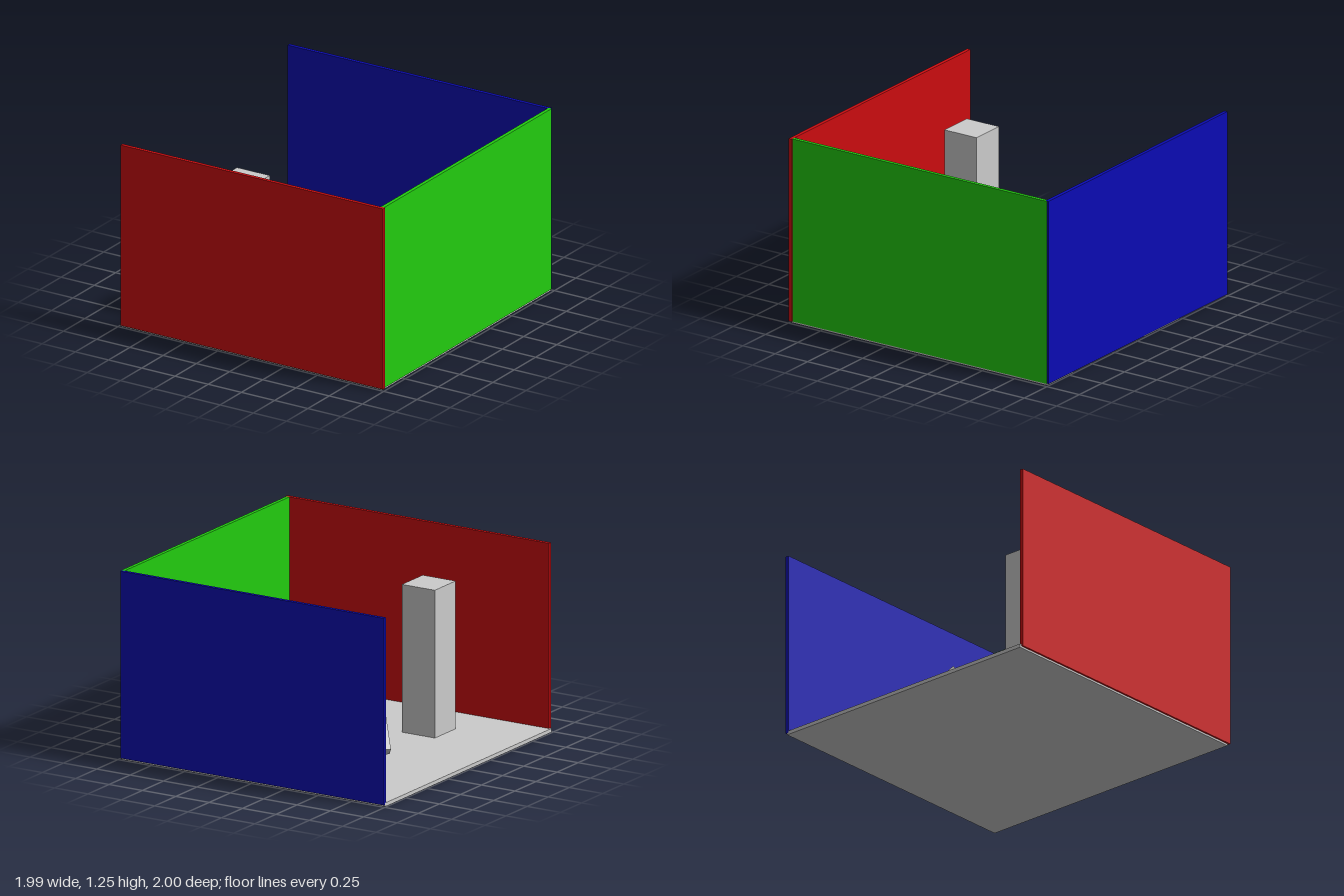
import * as THREE from 'three';

export function createModel() {
  const group = new THREE.Group();
  const material = (color) => new THREE.MeshStandardMaterial({ color });
  const grey = material(0xcccccc);

  const add = (name, geometry, mat, x, y, z) => {
    const mesh = new THREE.Mesh(geometry, mat);
    mesh.name = name;
    mesh.position.set(x, y, z);
    group.add(mesh);
    return mesh;
  };
  const box = (name, mat, w, h, d, x, y, z) =>
    add(name, new THREE.BoxGeometry(w, h, d), mat, x, y, z);

  const side = 1.975;       // floor and wall length
  const thick = 0.0247;     // floor and wall thickness
  const wallHeight = 1.235;
  const base = thick / 2;   // walls and objects start at mid-floor
  const wallY = base + wallHeight / 2;

  // Room: floor and three coloured walls, open on the -x side
  box('floor', grey, side, thick, side, -0.006, base, 0);
  box('frontWall', material(0xcc0c10), side, wallHeight, thick, 0.007, wallY, 0.988);
  box('backWall', material(0x0b0bb4), side, wallHeight, thick, -0.006, wallY, -0.988);
  box('sideWall', material(0x22cc10), thick, wallHeight, side, 0.975, wallY, 0);

  // Square pillar
  box('pillar', grey, 0.247, 0.988, 0.247, -0.36, base + 0.494, 0.533);

  // Ball resting on the floor
  add('ball', new THREE.SphereGeometry(0.247, 48, 32), grey, 0.33, base + 0.247, -0.415);

  // Tilted block, its raised end towards +x and +z
  const block = box('tiltedBlock', grey, 0.074, 0.065, 0.37, -0.463, 0.25, -0.198);
  block.rotation.set(-Math.PI / 4, 0.743, 0, 'YXZ');

  return group;
}
